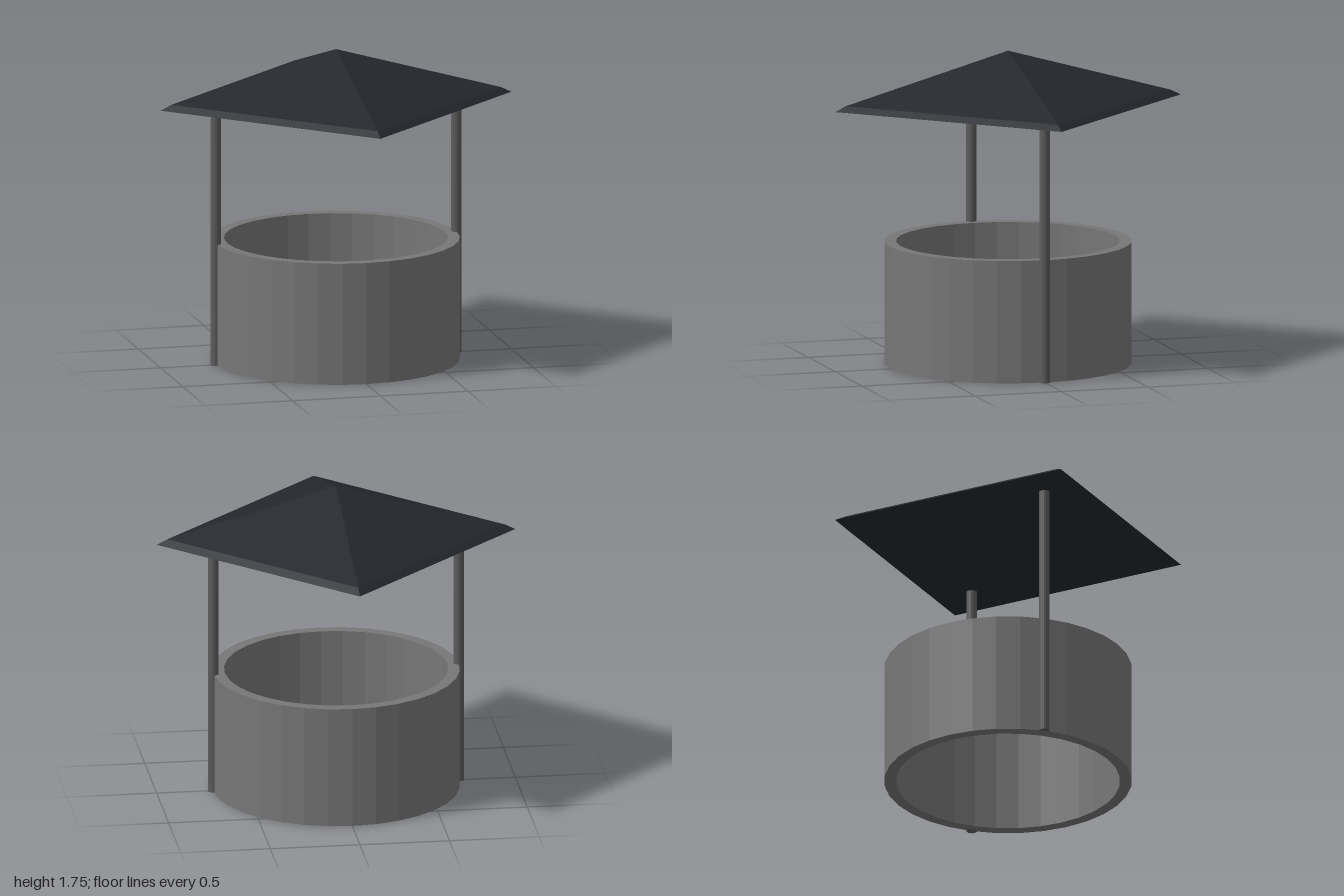
import * as THREE from 'three';

// Faceted solid of revolution from [radius, height] pairs, listed bottom-outside upwards
function turned(name, profile, sides, color) {
  const points = profile.map(([r, y]) => new THREE.Vector2(r, y));
  const material = new THREE.MeshStandardMaterial({ color, flatShading: true });
  const mesh = new THREE.Mesh(new THREE.LatheGeometry(points, sides), material);
  mesh.name = name;
  return mesh;
}

export function createModel() {
  const well = new THREE.Group();
  well.name = 'well';

  // Open ring wall
  const outer = 0.685, inner = 0.62, wallTop = 0.685;
  well.add(turned('wall', [
    [outer, 0], [outer, wallTop], [inner, wallTop], [inner, 0], [outer, 0],
  ], 32, 0x777777));

  // Two posts standing on the wall line
  const eaves = 1.455;
  for (const [name, side] of [['leftPost', 1], ['rightPost', -1]]) {
    const post = turned(name, [[0, 0], [0.03, 0], [0.03, eaves], [0, eaves]], 16, 0x5c5c5c);
    post.position.x = side * outer;
    well.add(post);
  }

  // Four-sided roof with a steeper bevelled rim, corners on the axes
  well.add(turned('roof', [
    [0, eaves], [1, eaves], [0.94, 1.485], [0, 1.75],
  ], 4, 0x24282d));

  return well;
}
